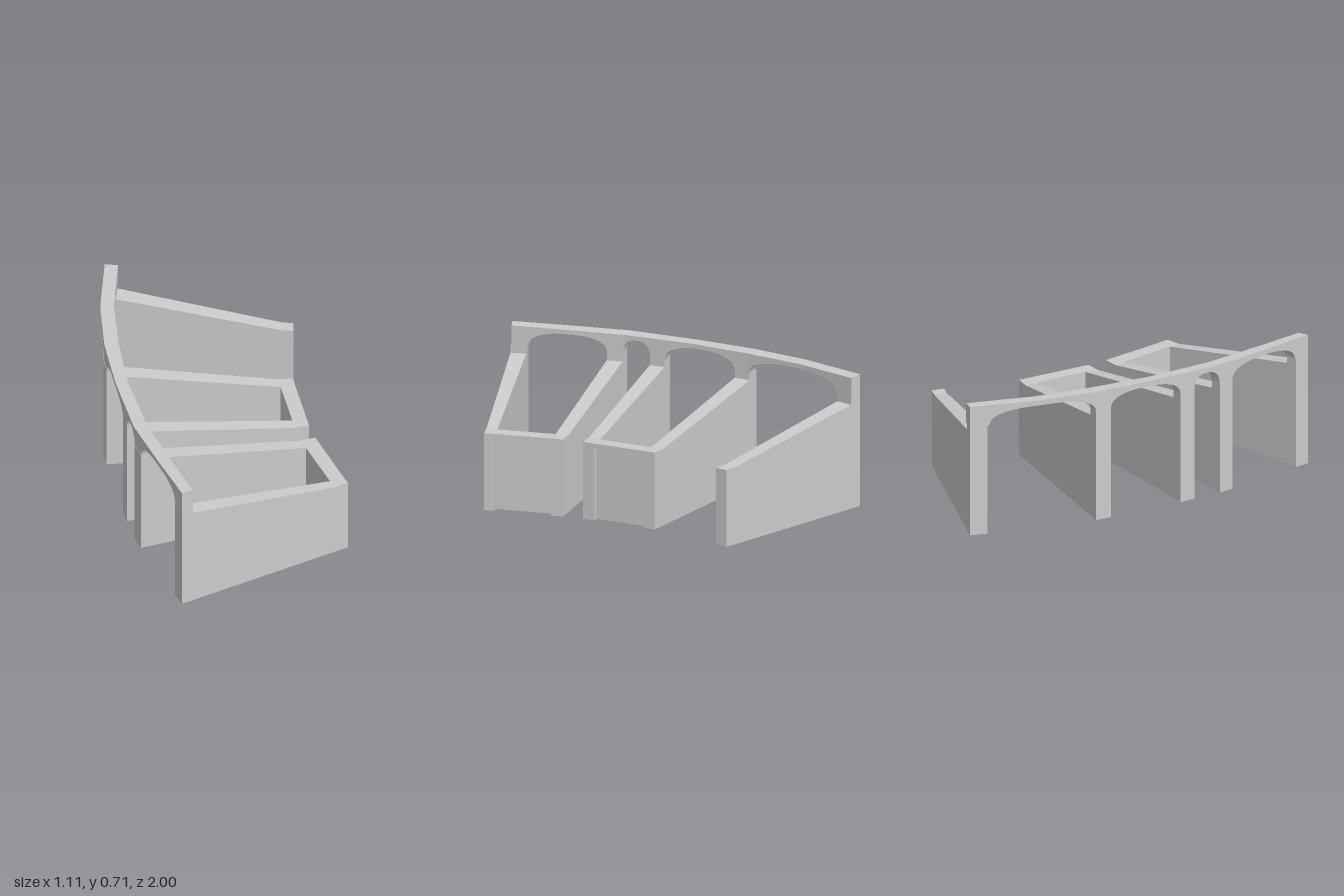
import * as THREE from 'three';
import { toCreasedNormals } from 'three/addons/utils/BufferGeometryUtils.js';

const material = new THREE.MeshStandardMaterial({ color: 0xcccccc });
const TOP = 0.71, SPRING = 0.6, RIDGE = 0.56, LOW = 0.415;

// Fit a geometry with x and z in 0..1 to a ground quad:
// [back low-z, back high-z, front low-z, front high-z], each [x, z].
function fitToQuad(geometry, [a, b, c, d]) {
  const g = geometry.index ? geometry.toNonIndexed() : geometry;
  const p = g.attributes.position;
  for (let i = 0; i < p.count; i++) {
    const u = p.getX(i), w = p.getZ(i);
    const mix = (k) => (a[k] * (1 - w) + b[k] * w) * (1 - u) + (c[k] * (1 - w) + d[k] * w) * u;
    p.setXYZ(i, mix(0), p.getY(i), mix(1));
  }
  g.computeVertexNormals();
  return g;
}

function unitBlock(y0, y1, u0, u1) {
  return new THREE.BoxGeometry(u1 - u0, y1 - y0, 1).translate((u0 + u1) / 2, (y0 + y1) / 2, 0.5);
}

// Wall with a sloping top, a flat tip and a post at the back
function wallGeometry(quad, tip) {
  const length = Math.hypot(quad[2][0] - quad[0][0], quad[2][1] - quad[0][1]);
  const post = 0.066 / length;
  const profile = new THREE.Shape([
    [0, 0], [1, 0], [1, LOW], [1 - tip / length, LOW], [post, RIDGE], [post, SPRING], [0, SPRING],
  ].map(([x, y]) => new THREE.Vector2(x, y)));
  return fitToQuad(new THREE.ExtrudeGeometry(profile, { depth: 1, bevelEnabled: false }), quad);
}

// Skin a run of four-cornered sections and cap both ends
function loft(sections) {
  const out = [];
  const quad = (a, b, c, d) => [a, b, c, a, c, d].forEach((v) => out.push(...v));
  for (let i = 0; i < sections.length - 1; i++) {
    const s = sections[i], n = sections[i + 1];
    for (let j = 0; j < 4; j++) quad(s[j], s[(j + 1) % 4], n[(j + 1) % 4], n[j]);
  }
  quad(...[...sections[0]].reverse());
  quad(...sections[sections.length - 1]);
  const g = new THREE.BufferGeometry();
  g.setAttribute('position', new THREE.Float32BufferAttribute(out, 3));
  return toCreasedNormals(g, 0.6);
}

// Back line of the arcade: [z, outer x, inner x]
const backLine = [
  [0.995, -0.46, -0.4], [0.7, -0.51, -0.445], [0.38, -0.558, -0.488], [0, -0.555, -0.49],
  [-0.33, -0.53, -0.455], [-0.65, -0.47, -0.4], [-1, -0.355, -0.29],
];
function backAt(z) {
  let i = 0;
  while (i < backLine.length - 2 && z < backLine[i + 1][0]) i++;
  const p = backLine[i], q = backLine[i + 1];
  const t = (z - p[0]) / (q[0] - p[0]);
  return [p[1] + (q[1] - p[1]) * t, p[2] + (q[2] - p[2]) * t];
}

// Curved beam whose underside arches between the posts
function arcadeGeometry() {
  const bays = [[0.905, 0.48], [0.395, 0.24], [0.155, -0.255], [-0.34, -0.9]];
  const stations = [[0.995, SPRING]];
  for (const [z0, z1] of bays) {
    const steps = 20;
    for (let i = 0; i <= steps; i++) {
      const c = -Math.cos((Math.PI * i) / steps);
      const rise = Math.pow(Math.max(0, 1 - Math.pow(Math.abs(c), 2.4)), 1 / 2.4);
      stations.push([z0 + ((z1 - z0) * (c + 1)) / 2, SPRING + 0.083 * rise]);
    }
  }
  stations.push([-1, SPRING]);
  return loft(stations.map(([z, y]) => {
    const [xo, xi] = backAt(z);
    const zi = z * 0.98;
    return [[xo, y, z], [xo, TOP, z], [xi, TOP - 0.004, zi], [xi, y, zi]];
  }));
}

export function createModel() {
  const model = new THREE.Group();
  model.name = 'buttressedArcade';
  const add = (name, geometry) => {
    const mesh = new THREE.Mesh(geometry, material);
    mesh.name = name;
    model.add(mesh);
  };

  add('arcadeBeam', arcadeGeometry());

  // Five radiating walls
  const walls = [
    [[-0.355, -1], [-0.385, -0.91], [0.555, -0.65], [0.54, -0.585]],
    [[-0.53, -0.343], [-0.537, -0.255], [0.435, -0.195], [0.431, -0.13]],
    [[-0.556, 0.155], [-0.557, 0.24], [0.418, 0.152], [0.415, 0.215]],
    [[-0.557, 0.395], [-0.545, 0.48], [0.42, 0.325], [0.43, 0.39]],
    [[-0.475, 0.912], [-0.46, 0.995], [0.475, 0.685], [0.485, 0.74]],
  ];
  walls.forEach((quad, i) => add(`wall${i + 1}`, wallGeometry(quad, i === 0 ? 0.06 : 0.085)));

  // Front panels closing two pairs of walls, recessed under a lintel
  const fronts = [
    [[0.355, -0.14], [0.343, 0.153], [0.431, -0.13], [0.418, 0.152]],
    [[0.35, 0.39], [0.4, 0.703], [0.43, 0.39], [0.475, 0.685]],
  ];
  fronts.forEach((quad, i) => {
    add(`frontPanel${i + 1}`, fitToQuad(unitBlock(0, 0.388, 0, 0.6), quad));
    add(`frontLintel${i + 1}`, fitToQuad(unitBlock(0.388, LOW, 0, 1), quad));
  });

  return model;
}
